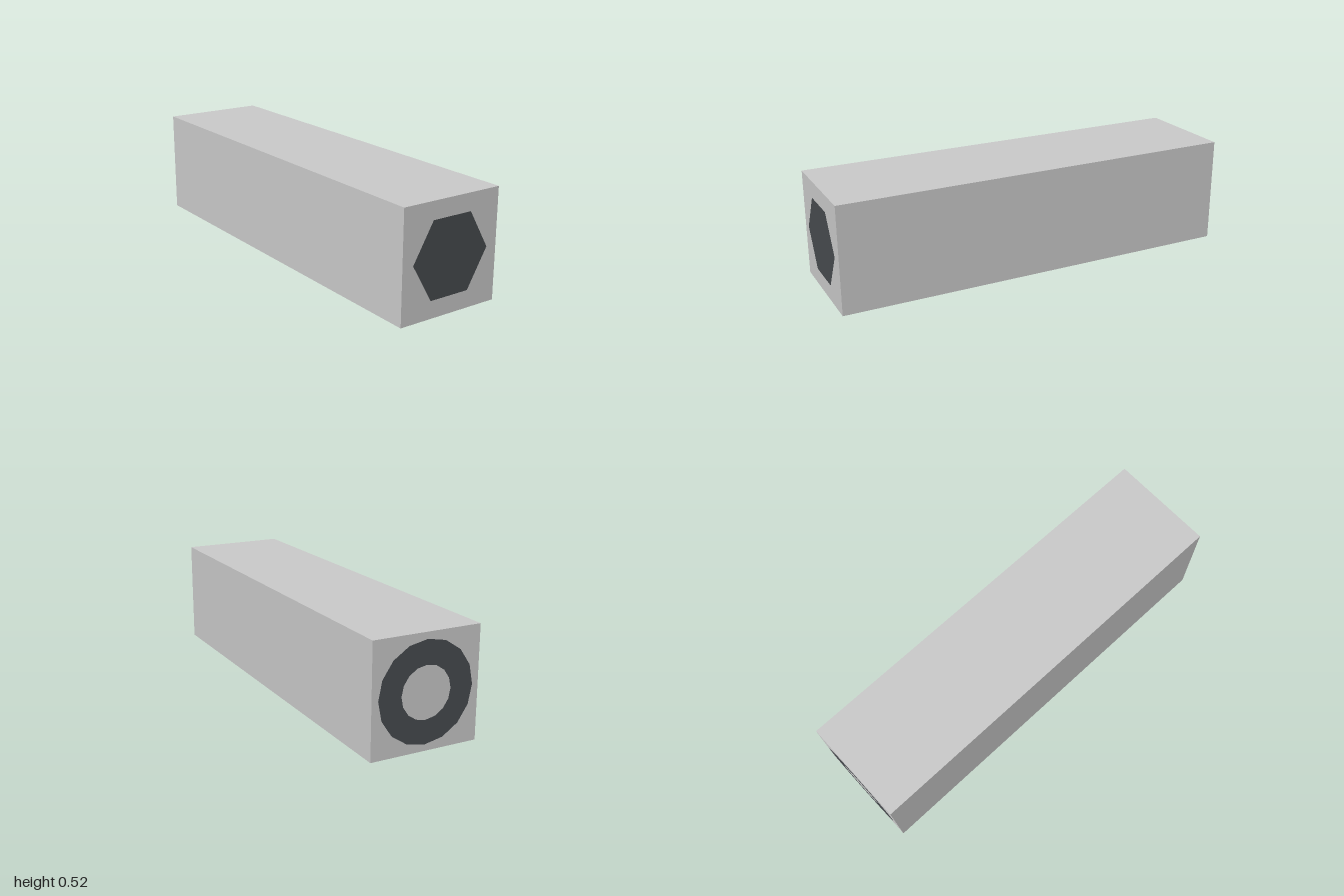
import * as THREE from 'three';

const SIZE = 0.52;
const LENGTH = 2;
const INLAY = 0.0015; // inlays stand just proud of the end faces

export function createModel() {
  const model = new THREE.Group();
  const grey = new THREE.MeshStandardMaterial({ color: 0xcccccc, flatShading: true });
  const dark = new THREE.MeshStandardMaterial({ color: 0x484c50, flatShading: true });

  const add = (name, geometry, material, z = 0) => {
    const mesh = new THREE.Mesh(geometry, material);
    mesh.name = name;
    mesh.position.set(0, SIZE / 2, z);
    model.add(mesh);
    return mesh;
  };

  // Square bar
  add('bar', new THREE.BoxGeometry(SIZE, SIZE, LENGTH - 2 * INLAY), grey);

  // Hexagonal inlay on the front end, corners pointing sideways
  add('frontHexagon', new THREE.CircleGeometry(0.205, 6), dark, LENGTH / 2);

  // Faceted ring inlay on the back end
  const ring = add('backRing', new THREE.RingGeometry(0.12, 0.23, 16), dark, -LENGTH / 2);
  ring.rotation.y = Math.PI;

  return model;
}
